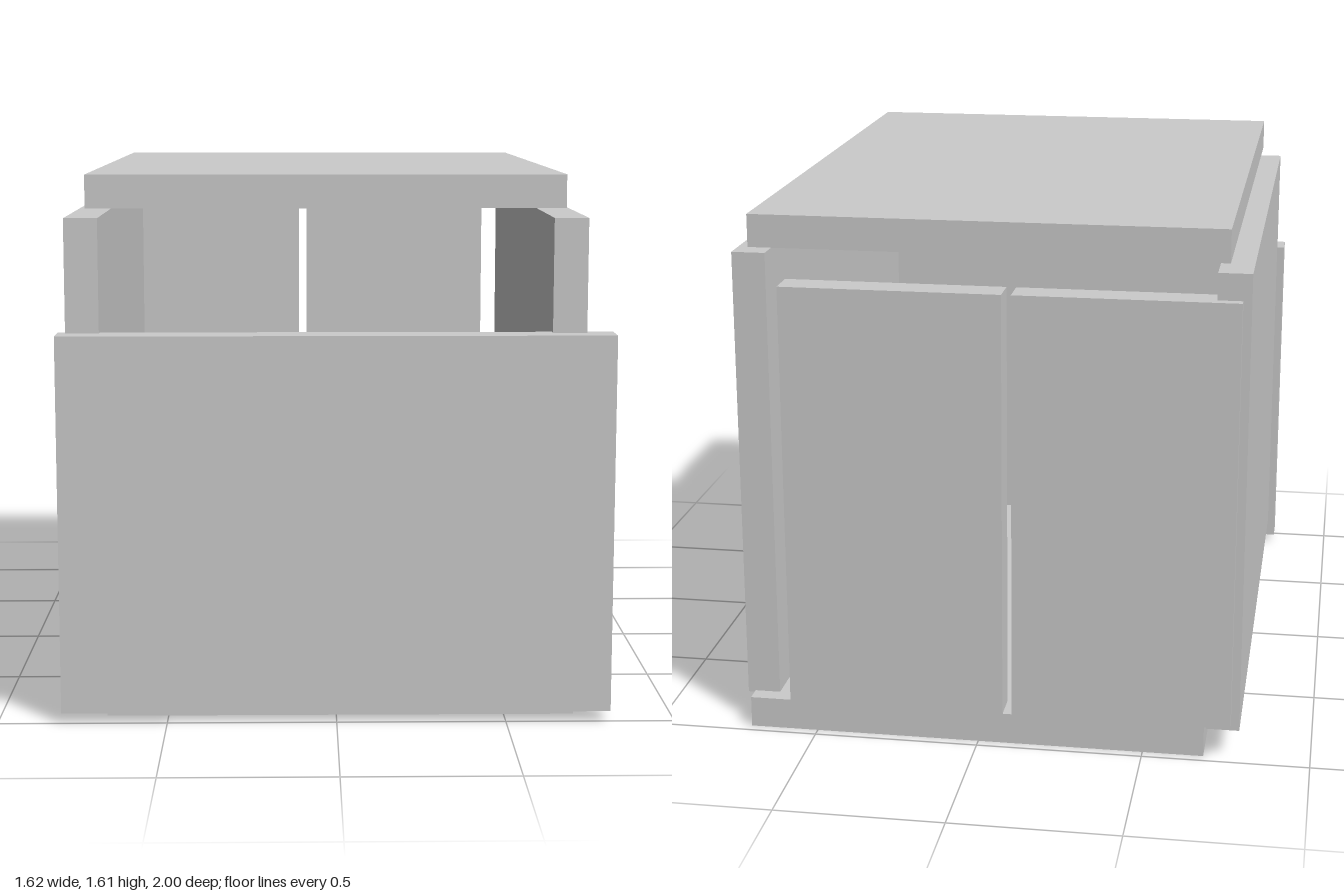
import * as THREE from 'three';

const material = new THREE.MeshStandardMaterial({ color: 0xcccccc, flatShading: true });

// Box panel given by its extents along each axis
function panel(name, [x0, x1], [y0, y1], [z0, z1]) {
  const mesh = new THREE.Mesh(new THREE.BoxGeometry(x1 - x0, y1 - y0, z1 - z0), material);
  mesh.name = name;
  mesh.position.set((x0 + x1) / 2, (y0 + y1) / 2, (z0 + z1) / 2);
  return mesh;
}

export function createModel() {
  const cabinet = new THREE.Group();
  cabinet.name = 'cabinet';

  // Bottom and raised top
  cabinet.add(panel('floorPanel', [-0.683, 0.708], [0, 0.095], [-0.97, 0.925]));
  cabinet.add(panel('topPanel', [-0.725, 0.665], [1.51, 1.607], [-0.97, 0.925]));

  // Side walls, slightly offset from each other
  cabinet.add(panel('leftWall', [0.63, 0.73], [0.09, 1.482], [-0.918, 0.932]));
  cabinet.add(panel('rightWall', [-0.788, -0.69], [0.09, 1.482], [-0.97, 0.925]));

  // Wide, lower front
  cabinet.add(panel('frontPanel', [-0.812, 0.81], [0.03, 1.148], [0.902, 1]));

  // Pair of rear doors
  for (const [name, x] of [['rightDoor', -0.763], ['leftDoor', -0.08]]) {
    cabinet.add(panel(name, [x, x + 0.655], [0.108, 1.403], [-1, -0.902]));
  }
  return cabinet;
}
